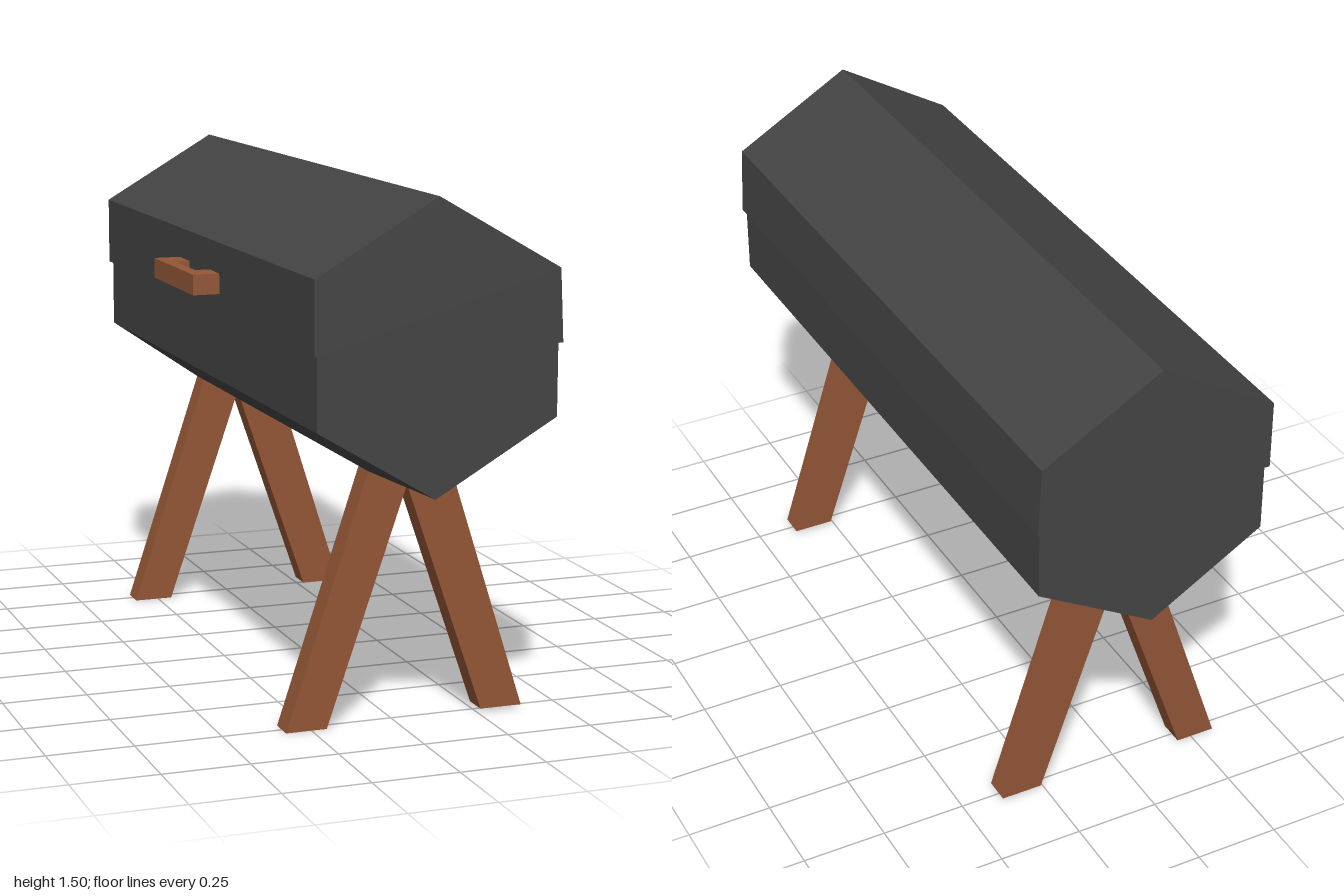
import * as THREE from 'three';

const iron = new THREE.MeshStandardMaterial({ color: 0x444444, flatShading: true });
const wood = new THREE.MeshStandardMaterial({ color: 0x935636, flatShading: true });

// Straight prism along z from an x/y outline
function prism(name, points, length, z, material) {
  const shape = new THREE.Shape(points.map(([x, y]) => new THREE.Vector2(x, y)));
  const geometry = new THREE.ExtrudeGeometry(shape, { depth: length, bevelEnabled: false });
  geometry.translate(0, 0, z - length / 2);
  const mesh = new THREE.Mesh(geometry, material);
  mesh.name = name;
  return mesh;
}

// Closed skin through equal x/y outlines (counter-clockwise seen from +z), ordered from -z to +z
function loft(sections) {
  const n = sections[0].points.length;
  const positions = sections.flatMap(({ z, points }) => points.flatMap(([x, y]) => [x, y, z]));
  const index = [];
  for (let s = 0; s < sections.length - 1; s++) {
    for (let i = 0; i < n; i++) {
      const a = s * n + i, b = s * n + (i + 1) % n;
      index.push(a, b, b + n, a, b + n, a + n);
    }
  }
  // End caps
  const outline = (s) => s.points.map(([x, y]) => new THREE.Vector2(x, y));
  const last = (sections.length - 1) * n;
  for (const [a, b, c] of THREE.ShapeUtils.triangulateShape(outline(sections[0]), [])) index.push(a, c, b);
  for (const [a, b, c] of THREE.ShapeUtils.triangulateShape(outline(sections.at(-1)), [])) {
    index.push(last + a, last + b, last + c);
  }
  const indexed = new THREE.BufferGeometry();
  indexed.setAttribute('position', new THREE.Float32BufferAttribute(positions, 3));
  indexed.setIndex(index);
  const geometry = indexed.toNonIndexed();
  geometry.computeVertexNormals();
  return geometry;
}

export function createModel() {
  const group = new THREE.Group();

  // Lid: gabled upper half, slightly overhanging the tub
  group.add(prism('lid', [
    [-0.32, 1.09], [0.395, 1.09], [0.385, 1.295], [0.03, 1.5], [-0.32, 1.295],
  ], 2, 0, iron));

  // Tub: V-shaped lower half whose slopes swell out to meet the legs
  const tubOutline = (leftY, rightY) => [
    [-0.31, 1.09], [-0.31, 0.885], [-0.085, leftY], [0.03, 0.68],
    [0.16, rightY], [0.385, 0.885], [0.385, 1.09],
  ];
  const end = tubOutline(0.749, 0.755), swollen = tubOutline(0.725, 0.722);
  const tub = new THREE.Mesh(loft([
    { z: -0.99, points: end }, { z: -0.785, points: swollen },
    { z: 0.785, points: swollen }, { z: 0.99, points: end },
  ]), iron);
  tub.name = 'tub';
  group.add(tub);

  // Splayed legs, one pair near each end
  for (const [z, place] of [[0.747, 'front'], [-0.747, 'back']]) {
    group.add(prism(place + 'RightLeg', [
      [-0.325, 0], [-0.205, 0], [0.03, 0.68], [-0.085, 0.725],
    ], 0.076, z, wood));
    group.add(prism(place + 'LeftLeg', [
      [0.26, 0.01], [0.385, 0.01], [0.16, 0.722], [0.03, 0.68],
    ], 0.076, z, wood));
  }

  // Handle: U-shaped grip drawn in x/z and extruded upward
  const grip = new THREE.Shape([
    [-0.32, -0.2], [-0.32, -0.1], [-0.363, -0.1], [-0.363, 0.095],
    [-0.32, 0.095], [-0.32, 0.19], [-0.4, 0.19], [-0.4, -0.2],
  ].map(([x, z]) => new THREE.Vector2(x, -z)));
  const gripGeometry = new THREE.ExtrudeGeometry(grip, { depth: 0.06, bevelEnabled: false });
  gripGeometry.rotateX(-Math.PI / 2).translate(0, 1.145, 0);
  const handle = new THREE.Mesh(gripGeometry, wood);
  handle.name = 'handle';
  group.add(handle);

  return group;
}
